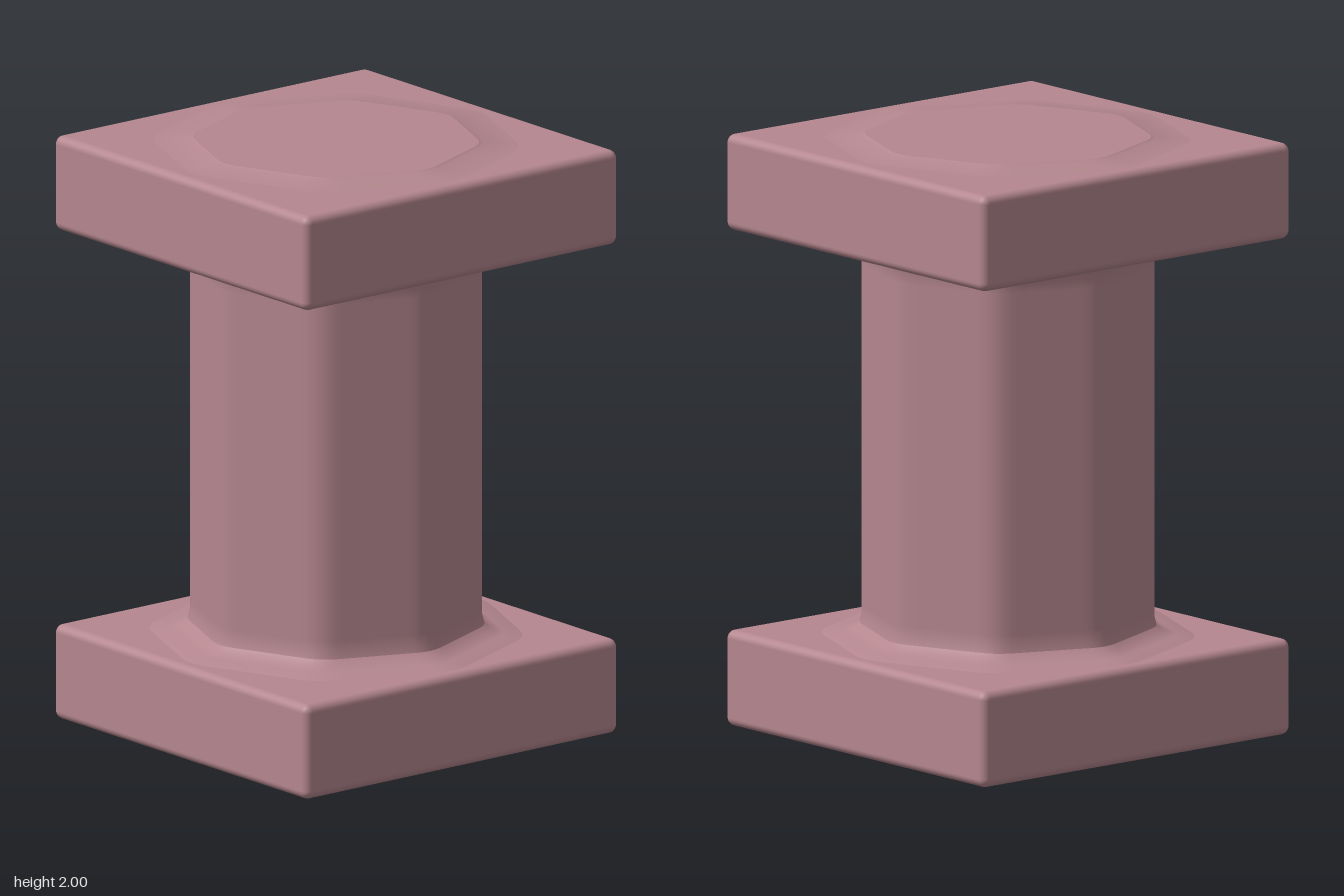
import * as THREE from 'three';
import { RoundedBoxGeometry } from 'three/addons/geometries/RoundedBoxGeometry.js';
import { toCreasedNormals } from 'three/addons/utils/BufferGeometryUtils.js';

// Octagon of unit radius with softly rounded corners, one corner on each axis
function octagonOutline() {
  const corner = i => new THREE.Vector2(Math.cos(i * Math.PI / 4), Math.sin(i * Math.PI / 4));
  const points = [];
  for (let i = 0; i < 8; i++) {
    const c = corner(i), a = c.clone().lerp(corner(i - 1), 0.15), b = c.clone().lerp(corner(i + 1), 0.15);
    points.push(c.clone().lerp(corner(i - 1), 0.22));
    points.push(...new THREE.QuadraticBezierCurve(a, c, b).getPoints(4));
    points.push(c.clone().lerp(corner(i + 1), 0.22));
  }
  return points;
}

// Sweep the outline upward through [radius, height] rings
function loft(outline, rings) {
  const n = outline.length, positions = [], index = [];
  for (const [r, y] of rings) for (const p of outline) positions.push(p.x * r, y, p.y * r);
  for (let k = 0; k < rings.length - 1; k++) {
    for (let i = 0; i < n; i++) {
      const a = k * n + i, b = k * n + (i + 1) % n;
      if (rings[k][0] > 0) index.push(a, a + n, b);
      if (rings[k + 1][0] > 0) index.push(b, a + n, b + n);
    }
  }
  const geometry = new THREE.BufferGeometry();
  geometry.setAttribute('position', new THREE.Float32BufferAttribute(positions, 3));
  geometry.setIndex(index);
  return toCreasedNormals(geometry, 0.45);
}

export function createModel() {
  const model = new THREE.Group();
  model.name = 'pedestal';
  const rose = new THREE.MeshStandardMaterial({ color: 0xb5878f });
  rose.name = 'dusty rose';

  const add = (name, geometry, y = 0) => {
    const mesh = new THREE.Mesh(geometry, rose);
    mesh.name = name;
    mesh.position.y = y;
    model.add(mesh);
  };

  // Square slabs with softened edges
  const slab = new RoundedBoxGeometry(1.31, 0.32, 1.32, 4, 0.028);
  add('baseSlab', slab, 0.172);
  add('topSlab', slab, 1.828);

  // Shaft: shallow end panel, slab fillet, then the straight side; mirrored about mid height
  const lower = [
    [0, 0.0], [0.48, 0.0], [0.49, 0.005], [0.63, 0.013],
    [0.64, 0.02], [0.64, 0.325],
    [0.625, 0.332], [0.56, 0.34], [0.52, 0.352], [0.498, 0.37], [0.49, 0.4], [0.49, 0.43],
  ];
  const upper = lower.map(([r, y]) => [r, 2 - y]).reverse();
  add('octagonalShaft', loft(octagonOutline(), [...lower, ...upper]));

  return model;
}
